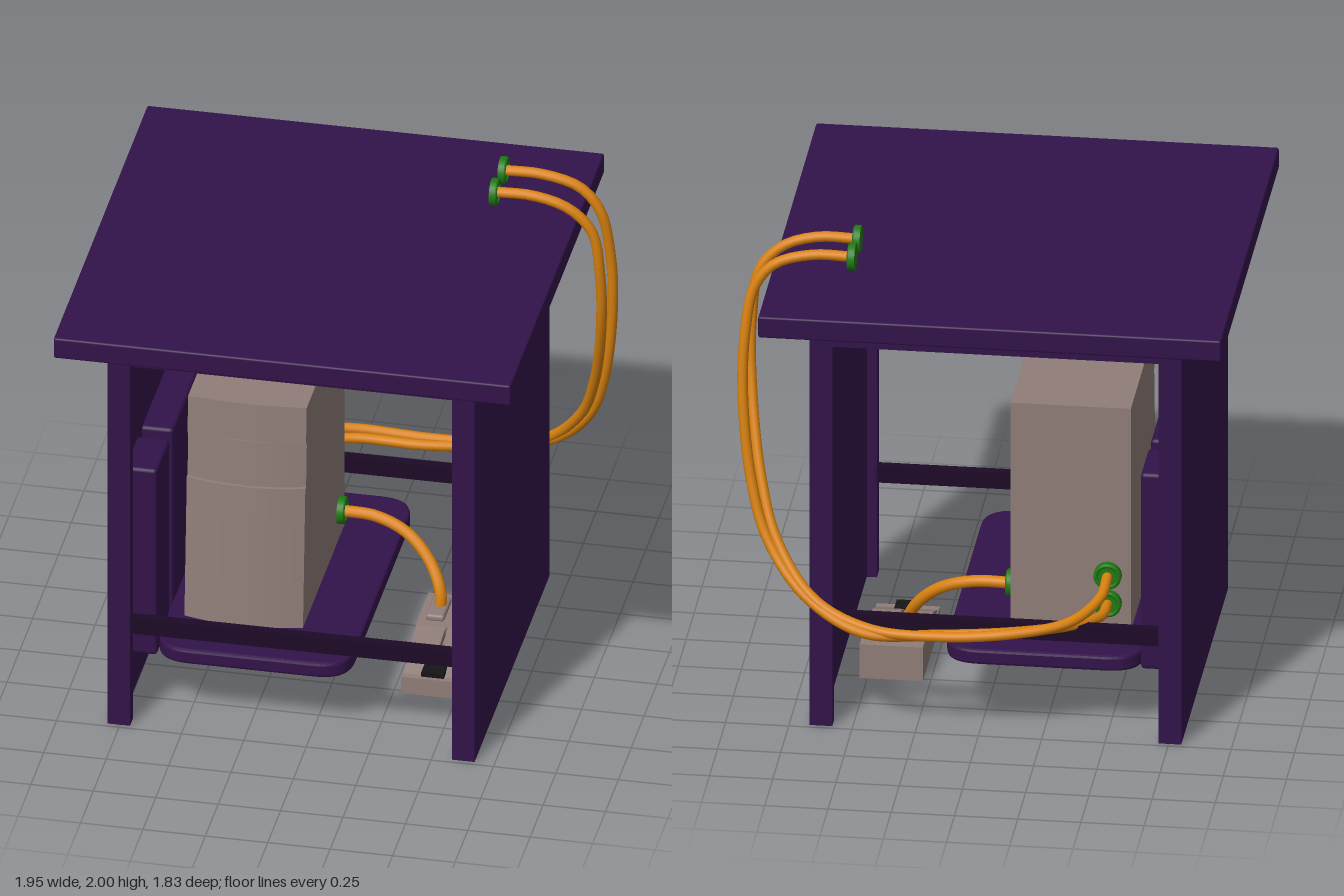
import * as THREE from 'three';
import { RoundedBoxGeometry } from 'three/addons/geometries/RoundedBoxGeometry.js';

const mat = (color) => new THREE.MeshStandardMaterial({ color });

export function createModel() {
  const model = new THREE.Group();
  const purple = mat(0x33134a), dark = mat(0x1c0a26), beige = mat(0x8f7d78);
  const orange = mat(0xd9820f), green = mat(0x1f7a12), black = mat(0x151515);

  const add = (name, geometry, material, parent = model) => {
    const mesh = new THREE.Mesh(geometry, material);
    mesh.name = name;
    parent.add(mesh);
    return mesh;
  };
  // Box given by its limits on each axis; r rounds the edges
  const box = (name, [x0, x1], [y0, y1], [z0, z1], material, r = 0, parent = model) => {
    const size = [x1 - x0, y1 - y0, z1 - z0];
    const g = r ? new RoundedBoxGeometry(...size, 2, r) : new THREE.BoxGeometry(...size);
    const m = add(name, g, material, parent);
    m.position.set((x0 + x1) / 2, (y0 + y1) / 2, (z0 + z1) / 2);
    return m;
  };
  // Plan outline (x, -z) raised from y0 to y1
  const slab = (shape, y0, y1, bevel = 0) => {
    const g = new THREE.ExtrudeGeometry(shape, {
      depth: y1 - y0 - 2 * bevel, bevelEnabled: bevel > 0, bevelSize: bevel,
      bevelThickness: bevel, bevelOffset: -bevel, bevelSegments: 2, curveSegments: 10,
    });
    return g.rotateX(-Math.PI / 2).translate(0, y0 + bevel, 0);
  };

  // Table top and side panels
  box('tableTop', [-0.98, 0.85], [1.75, 1.84], [-0.92, 0.91], purple, 0.008);
  box('sidePanel', [0.62, 0.67], [0, 1.75], [-0.72, 0.72], purple);
  box('sidePanel', [-0.80, -0.75], [0, 1.75], [-0.72, 0.72], purple);

  // Front and back frames, each with a cross bar
  const frame = new THREE.Shape([
    [-0.80, 0], [-0.71, 0], [-0.71, 1.64], [0.58, 1.64],
    [0.58, 0], [0.67, 0], [0.67, 1.75], [-0.80, 1.75],
  ].map(([x, y]) => new THREE.Vector2(x, y)));
  for (const s of [1, -1]) {
    const g = new THREE.ExtrudeGeometry(frame, { depth: 0.06, bevelEnabled: false });
    add('frame', g, purple).position.z = s > 0 ? 0.67 : -0.73;
    const z = s * 0.69;
    box('crossBar', [-0.72, 0.59], [0.41, 0.48], [z - 0.02, z + 0.02], dark);
  }

  // Computer tray with rounded corners, hung from uprights on the panel
  const [x0, x1, d, r] = [-0.63, 0.15, 0.66, 0.14];
  const tray = new THREE.Shape();
  tray.moveTo(x0 + r, -d);
  tray.lineTo(x1 - r, -d).quadraticCurveTo(x1, -d, x1, -d + r);
  tray.lineTo(x1, d - r).quadraticCurveTo(x1, d, x1 - r, d);
  tray.lineTo(x0 + r, d).quadraticCurveTo(x0, d, x0, d - r);
  tray.lineTo(x0, -d + r).quadraticCurveTo(x0, -d, x0 + r, -d);
  add('tray', slab(tray, 0.265, 0.33, 0.012), purple);
  for (const z of [[0.37, 0.62], [-0.3, 0.3], [-0.62, -0.37]]) {
    box('trayUpright', [-0.76, -0.625], [0.265, 1.11], z, purple, 0.015);
  }

  // Tower case: three bowed sections, the front leaning back as it rises
  const tower = new THREE.Group();
  tower.name = 'computerTower';
  model.add(tower);
  [[0.33, 0.94, 0.40, 0.05], [0.94, 1.13, 0.385, 0.05], [1.13, 1.29, 0.40, 0.02]]
    .forEach(([y0, y1, front, bow]) => {
      const plan = new THREE.Shape();
      plan.moveTo(-0.56, 0.41).lineTo(-0.56, -front);
    });
  for (const [y0, y1, front, bow] of [
    [0.33, 0.937, 0.40, 0.07], [0.937, 1.13, 0.385, 0.07], [1.13, 1.29, 0.40, 0.03],
  ]) {
    const plan = new THREE.Shape();
    plan.moveTo(-0.56, 0.41);
    plan.lineTo(-0.56, -front);
    plan.quadraticCurveTo(-0.3225, -front - bow, -0.085, -front);
    plan.lineTo(-0.085, 0.41);
    const g = slab(plan, y0, y1);
    const p = g.attributes.position;
    for (let i = 0; i < p.count; i++) {
      if (p.getZ(i) > 0) p.setZ(i, p.getZ(i) - 0.075 * (p.getY(i) - 0.33));
    }
    g.computeVertexNormals();
    add('towerSection', g, beige, tower);
  }

  // Cables and their round plugs
  const cable = (name, points, radius) => {
    const curve = new THREE.CatmullRomCurve3(points.map((p) => new THREE.Vector3(...p)));
    return add(name, new THREE.TubeGeometry(curve, 80, radius, 12), orange);
  };
  const plug = (x, y, z, axis) => {
    const group = new THREE.Group();
    group.name = 'plug';
    add('plugDisc', new THREE.CylinderGeometry(0.055, 0.055, 0.024, 24), green, group);
    add('plugRim', new THREE.TorusGeometry(0.046, 0.009, 8, 24).rotateX(Math.PI / 2), green, group).position.y = 0.01;
    group.position.set(x, y, z);
    if (axis === 'x') group.rotation.z = -Math.PI / 2;
    else group.rotation.x = -Math.PI / 2;
    model.add(group);
  };
  cable('frontHose', [
    [0.53, 1.945, -0.37], [0.68, 1.945, -0.37], [0.82, 1.9, -0.375], [0.91, 1.8, -0.385],
    [0.94, 1.6, -0.40], [0.935, 1.35, -0.45], [0.88, 1.0, -0.59], [0.80, 0.77, -0.70],
    [0.64, 0.58, -0.81], [0.42, 0.495, -0.87], [0.15, 0.48, -0.88], [-0.15, 0.50, -0.86],
    [-0.36, 0.52, -0.77], [-0.46, 0.55, -0.6], [-0.47, 0.57, -0.42],
  ], 0.021);
  cable('backHose', [
    [0.53, 1.945, -0.54], [0.68, 1.945, -0.54], [0.83, 1.9, -0.545], [0.91, 1.8, -0.55],
    [0.945, 1.6, -0.575], [0.95, 1.35, -0.60], [0.91, 1.0, -0.645], [0.84, 0.78, -0.70],
    [0.68, 0.59, -0.80], [0.44, 0.48, -0.88], [0.15, 0.47, -0.84], [-0.15, 0.485, -0.81],
    [-0.36, 0.48, -0.71], [-0.46, 0.46, -0.57], [-0.47, 0.45, -0.42],
  ], 0.021);
  cable('pedalCable', [
    [0.35, 0.12, -0.15], [0.35, 0.22, -0.16], [0.30, 0.32, -0.21],
    [0.20, 0.41, -0.26], [0.07, 0.455, -0.29], [-0.08, 0.46, -0.3],
  ], 0.024);
  plug(0.523, 1.945, -0.37, 'x');
  plug(0.523, 1.945, -0.54, 'x');
  plug(-0.073, 0.462, -0.3, 'x');
  plug(-0.47, 0.57, -0.422, 'z');
  plug(-0.47, 0.45, -0.422, 'z');

  // Foot pedal: base, raised rear housing and two sloping treads
  const pedal = new THREE.Group();
  pedal.name = 'footPedal';
  model.add(pedal);
  box('pedalBase', [0.28, 0.53], [0, 0.075], [-0.27, 0.27], beige, 0, pedal);
  box('pedalHousing', [0.28, 0.53], [0.075, 0.145], [-0.27, -0.02], beige, 0, pedal);
  const side = new THREE.Shape([[0.02, 0.075], [-0.24, 0.075], [-0.1, 0.13], [0.02, 0.145]]
    .map(([z, y]) => new THREE.Vector2(z, y)));
  for (const x of [0.285, 0.41]) {
    const g = new THREE.ExtrudeGeometry(side, { depth: 0.115, bevelEnabled: false });
    add('pedalTread', g.rotateY(Math.PI / 2), beige, pedal).position.x = x;
    box('pedalCap', [x + 0.025, x + 0.1], [0.14, 0.17], [-0.22, -0.06], beige, 0.012, pedal);
  }
  box('pedalSlot', [0.36, 0.45], [0.08, 0.10], [0.15, 0.262], black, 0, pedal);

  return model;
}
